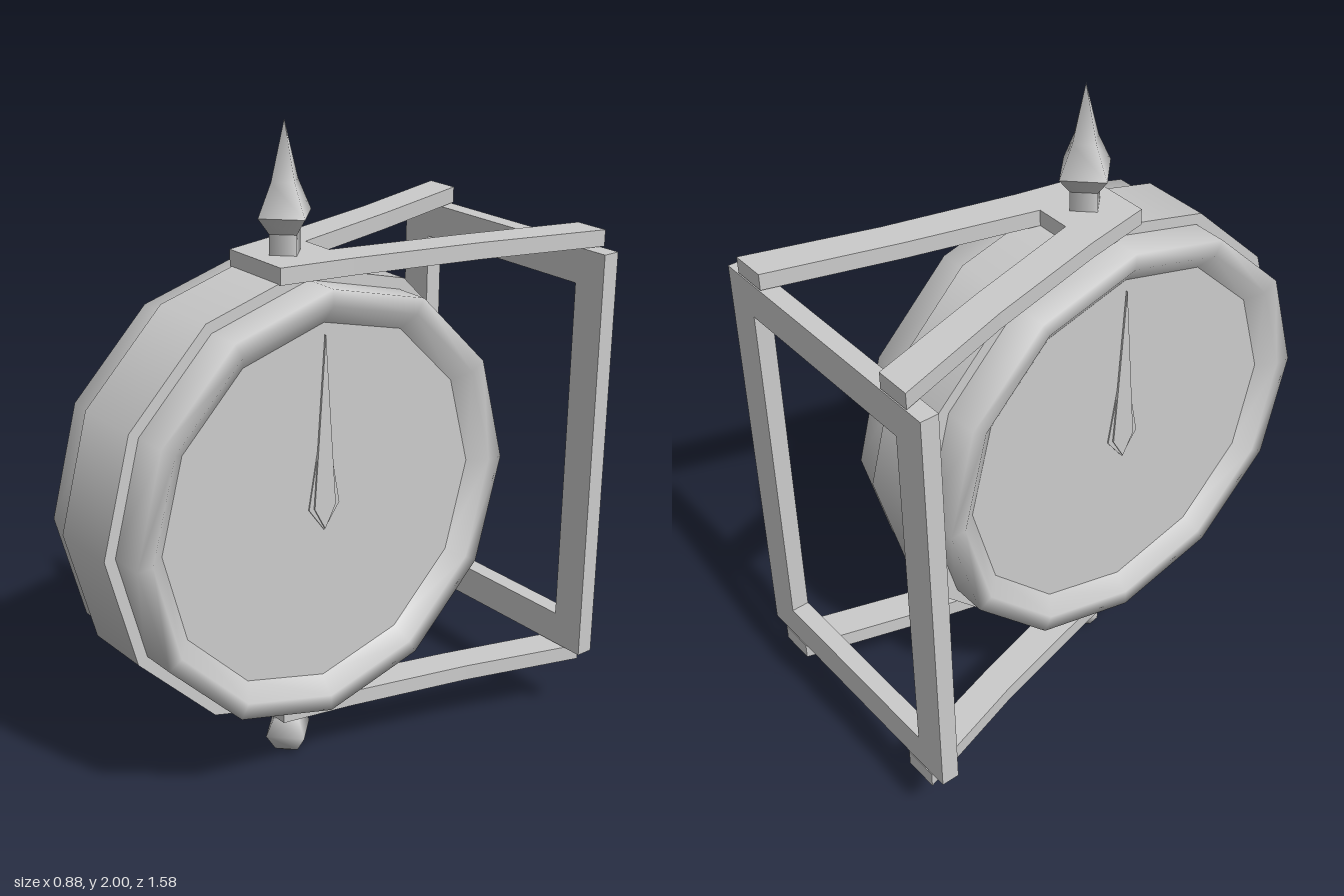
import * as THREE from 'three';

const CY = 0.91, CZ = 0.095; // centre of the clock drum
const mat = new THREE.MeshStandardMaterial({ color: 0xcccccc });

function add(parent, name, geometry) {
  const mesh = new THREE.Mesh(geometry, mat);
  mesh.name = name;
  parent.add(mesh);
  return mesh;
}

const toPoints = (list) => list.map(([x, y]) => new THREE.Vector2(x, y));
const lathe = (profile, sides) => new THREE.LatheGeometry(toPoints(profile), sides);
const slab = (shape, depth) => new THREE.ExtrudeGeometry(shape, { depth, bevelEnabled: false });

// Kite-shaped hand lying in the XY plane
function handGeometry(tip, halfWidth, tail) {
  return slab(new THREE.Shape(toPoints([[0, -tail], [halfWidth, 0], [0, tip], [-halfWidth, 0]])), 0.006);
}

// One clock side, built facing +x
function createSide(name) {
  const side = new THREE.Group();
  side.name = name;
  const rim = lathe([[0.66, 0.1], [0.66, 0.22], [0.61, 0.22], [0.555, 0.178]], 12);
  add(side, 'rim', rim.rotateZ(-Math.PI / 2));
  const dial = new THREE.CircleGeometry(0.56, 12);
  add(side, 'dial', dial.rotateY(Math.PI / 2).translate(0.178, 0, 0));
  add(side, 'hourHand', handGeometry(0.3, 0.055, 0.075).rotateY(Math.PI / 2).translate(0.176, 0, 0));
  add(side, 'minuteHand', handGeometry(0.52, 0.038, 0.07).rotateY(Math.PI / 2).translate(0.181, 0, 0));
  return side;
}

// Y-shaped bracket plate, drawn in plan as (x, z)
function bracketGeometry() {
  const outer = [[0.12, 0.2], [0.165, -0.02], [0.265, -0.41], [0.385, -0.79]];
  const inner = [[0.275, -0.79], [0.16, -0.41], [0.055, -0.02]];
  const half = [...outer, ...inner];
  const mirrored = half.map(([x, z]) => [-x, z]).reverse();
  const outline = [...half, ...mirrored].map(([x, z]) => [x, -z]);
  return slab(new THREE.Shape(toPoints(outline)), 0.05).rotateX(-Math.PI / 2);
}

function rectangle(PathType, x0, y0, x1, y1) {
  return new PathType(toPoints([[x0, y0], [x1, y0], [x1, y1], [x0, y1]]));
}

export function createModel() {
  const model = new THREE.Group();
  model.name = 'doubleSidedWallClock';

  // Clock drum with a raised middle band and two dials
  const clock = new THREE.Group();
  clock.name = 'clock';
  clock.position.set(0, CY, CZ);
  model.add(clock);
  const band = new THREE.CylinderGeometry(0.695, 0.695, 0.22, 12);
  add(clock, 'middleBand', band.rotateZ(-Math.PI / 2));
  clock.add(createSide('leftSide'));
  const right = createSide('rightSide');
  right.rotation.y = Math.PI;
  clock.add(right);

  // Brackets above and below the drum
  add(model, 'topBracket', bracketGeometry()).position.y = 1.575;
  add(model, 'bottomBracket', bracketGeometry()).position.y = 0.195;

  // Open wall frame at the back
  const frame = rectangle(THREE.Shape, -0.44, 0.25, 0.44, 1.57);
  frame.holes.push(rectangle(THREE.Path, -0.33, 0.355, 0.33, 1.46));
  add(model, 'wallFrame', slab(frame, 0.055)).position.z = -0.79;

  // Square spear finial on top, in parts to keep its edges sharp
  const topFinial = new THREE.Group();
  topFinial.name = 'topFinial';
  topFinial.position.z = CZ;
  model.add(topFinial);
  add(topFinial, 'stem', lathe([[0.055, 1.62], [0.055, 1.685]], 4));
  add(topFinial, 'flare', lathe([[0.055, 1.685], [0.093, 1.735]], 4));
  add(topFinial, 'spike', lathe([[0.093, 1.735], [0.047, 1.83], [0, 2]], 4));

  // Square drop finial below
  const bottomFinial = new THREE.Group();
  bottomFinial.name = 'bottomFinial';
  bottomFinial.position.z = CZ;
  model.add(bottomFinial);
  add(bottomFinial, 'stem', lathe([[0.055, 0.135], [0.055, 0.2]], 4));
  add(bottomFinial, 'knob', lathe([[0, 0], [0.05, 0.025], [0.085, 0.08], [0.055, 0.135]], 4));

  return model;
}
